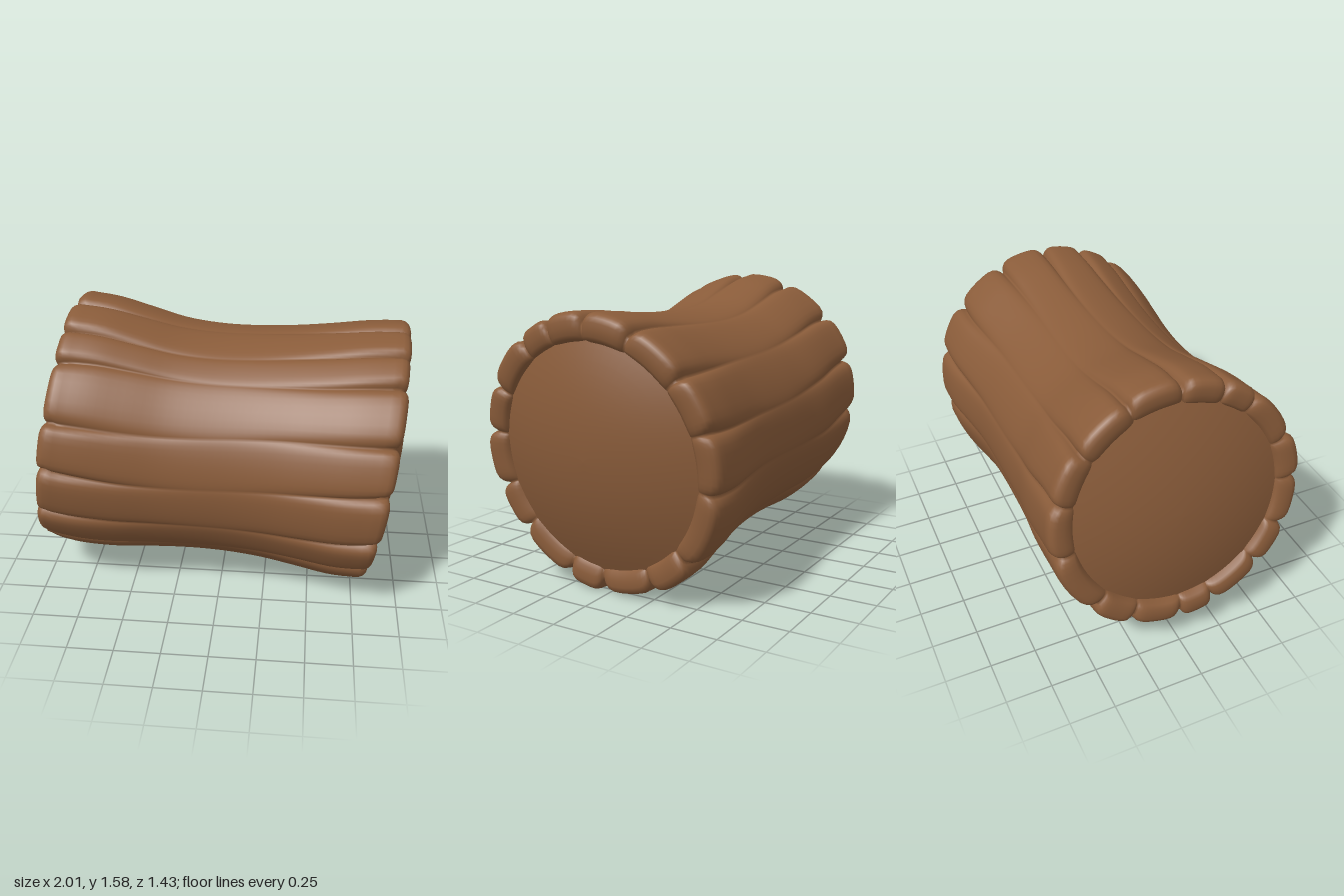
import * as THREE from 'three';

// Radii along the log, from the -x end to the +x end
const spline = (vals) => {
  const c = new THREE.SplineCurve(vals.map((v, i) => new THREE.Vector2(i, v)));
  return (s) => c.getPoint(s).y;
};
const top = spline([1.595, 1.57, 1.51, 1.45, 1.42, 1.415, 1.425, 1.445, 1.47, 1.48]);
const bottom = spline([0.17, 0.12, 0.105, 0.115, 0.12, 0.11, 0.085, 0.045, 0.002, -0.005]);
const front = spline([0.71, 0.695, 0.67, 0.645, 0.635, 0.635, 0.65, 0.68, 0.71, 0.725]);
const back = spline([0.695, 0.68, 0.67, 0.65, 0.645, 0.645, 0.655, 0.685, 0.72, 0.73]);

// Angles of the grooves between bark strips, from +z towards +y
const grooves = [-87, -70, -40, -19, 5, 28, 54, 69, 90, 113, 139, 164, 189, 223, 247, 273];
const across = [0, 0.03, 0.07, 0.13, 0.22, 0.35, 0.5, 0.65, 0.78, 0.87, 0.93, 0.97];
const LOBES = grooves.length - 1;
const COLS = LOBES * across.length;

const vary = (i, k) => {
  const v = Math.sin(i * 12.9898 + k * 78.233) * 43758.5453;
  return v - Math.floor(v);
};

// Slanted cuts at both ends
const leftCut = (y, z) => -1.033 + 0.13 * y - 0.02 * z;
const rightCut = (y, z) => 0.828 + 0.115 * y - 0.025 * z;

// Smooth outline of the log at s, shrunk by a ratio
function outline(s, a, ratio) {
  const cy = (top(s) + bottom(s)) / 2;
  const ry = (top(s) - bottom(s)) / 2;
  const rz = Math.cos(a) > 0 ? front(s) : back(s);
  return { y: cy + Math.sin(a) * ry * ratio, z: Math.cos(a) * rz * ratio };
}

// A bark point: inset and depth shape the rolled-over ends
function barkPoint(col, s, inset, depth) {
  const lobe = Math.floor(col / across.length);
  const t = across[col % across.length];
  const edge = (k) => {
    const twist = 3 * (1 - s) * (1 + Math.cos(THREE.MathUtils.degToRad(grooves[k])));
    return grooves[k] - twist + 0.9 * Math.sin(s * 6 + (k % LOBES) * 2.1);
  };
  const a = THREE.MathUtils.degToRad(THREE.MathUtils.lerp(edge(lobe), edge(lobe + 1), t));
  const dip = Math.pow(Math.abs(2 * t - 1), 6);
  const end = Math.pow(Math.abs(2 * s - 1), 2);
  const side = s < 0.5 ? 1 : 2;
  const drop = (0.005 + 0.06 * end) * dip + 0.016 * end * vary(lobe, side) * (1 - dip);
  const fade = 1 - Math.min(1, inset / 0.15);
  const p = outline(s, a, 1 - drop * fade / 0.7 - inset / 0.7);
  const o = outline(s, a, 1);
  const x = THREE.MathUtils.lerp(leftCut(o.y, o.z), rightCut(o.y, o.z), s);
  const cut = depth + (inset > 0 ? 0.03 * dip + 0.012 * vary(lobe, side + 2) * (1 - dip) : 0);
  return [x + (s < 0.5 ? cut : -cut), p.y, p.z];
}

function gridGeometry(rows, cols, point) {
  const pos = [], idx = [];
  for (let i = 0; i < rows; i++) for (let j = 0; j < cols; j++) pos.push(...point(i, j));
  for (let i = 0; i < rows - 1; i++) {
    for (let j = 0; j < cols; j++) {
      const k = (j + 1) % cols;
      const a = i * cols + j, b = a + cols, c = i * cols + k, d = c + cols;
      idx.push(a, b, c, b, d, c);
    }
  }
  const g = new THREE.BufferGeometry();
  g.setAttribute('position', new THREE.Float32BufferAttribute(pos, 3));
  g.setIndex(idx);
  g.computeVertexNormals();
  return g;
}

// Domed cut face whose edge is tucked into the bark lip; sign is the end it closes
function capGeometry(sign) {
  const s = sign < 0 ? 0 : 1, rings = 10, cols = 64;
  const dome = sign < 0 ? 0.09 : 0.13;
  return gridGeometry(rings + 1, cols, (i, j) => {
    const q = sign < 0 ? i / rings : 1 - i / rings;
    const p = outline(s, j / cols * Math.PI * 2, q * 0.84);
    const cut = sign < 0 ? leftCut(p.y, p.z) : rightCut(p.y, p.z);
    return [cut + sign * (dome * (1 - q * q) - 0.05), p.y, p.z];
  });
}

export function createModel() {
  const group = new THREE.Group();
  group.name = 'log';
  const brown = new THREE.MeshStandardMaterial({ color: 0x8a5c3a });
  brown.name = 'barkBrown';

  // Bark: inner lip, rounded rim, long strips, rounded rim, inner lip
  const lip = [[0.155, 0.13], [0.15, 0.05], [0.135, 0.02], [0.115, 0.006], [0.08, 0], [0.045, 0],
    [0.022, 0.007], [0.008, 0.022], [0.0001, 0.045]];
  const rows = lip.map(([inset, depth]) => [0, inset, depth]);
  for (let i = 2; i <= 38; i++) rows.push([i / 40, 0, 0]);
  rows.push(...lip.map(([inset, depth]) => [1, inset, depth]).reverse());
  const bark = new THREE.Mesh(gridGeometry(rows.length, COLS, (i, j) => barkPoint(j, ...rows[i])), brown);
  bark.name = 'bark';
  group.add(bark);

  // Cut faces
  for (const [name, sign] of [['leftCutFace', 1], ['rightCutFace', -1]]) {
    const cap = new THREE.Mesh(capGeometry(sign), brown);
    cap.name = name;
    group.add(cap);
  }
  return group;
}
